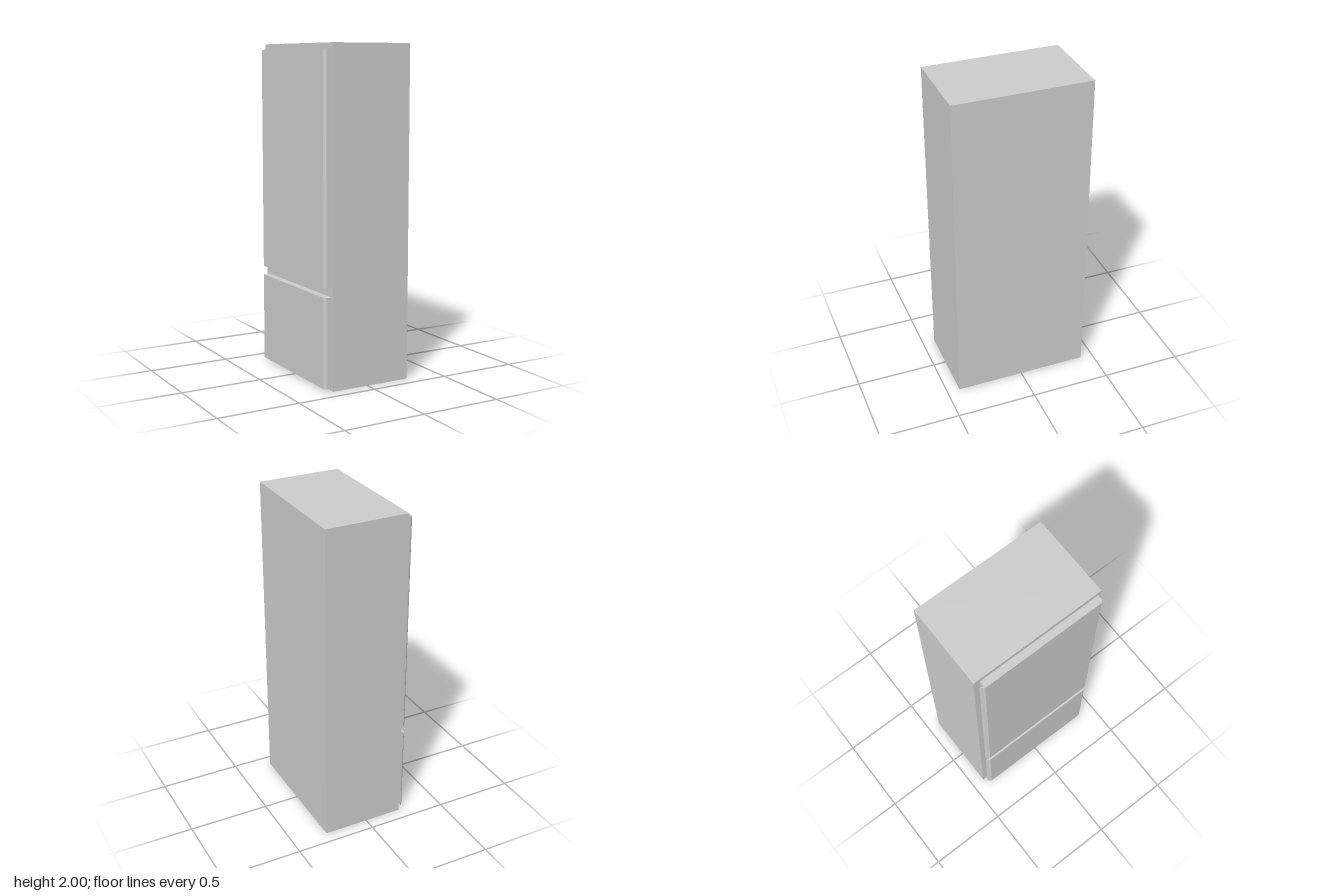
import * as THREE from 'three';

export function createModel() {
  const group = new THREE.Group();
  const material = new THREE.MeshStandardMaterial({ color: 0xcccccc, flatShading: true });

  // Cabinet body
  const cabinet = new THREE.Mesh(new THREE.BoxGeometry(0.513, 2, 0.842), material);
  cabinet.name = 'cabinet';
  cabinet.position.set(0.0225, 1, 0);
  group.add(cabinet);

  // Door plan outline (x, z): chamfered on one edge, hooked grip lip on the other
  const outline = new THREE.Shape([
    [-0.234, 0.402], [-0.267, 0.402], [-0.279, 0.387], [-0.279, -0.38],
    [-0.26, -0.404], [-0.266, -0.38], [-0.234, -0.38],
  ].map(([x, z]) => new THREE.Vector2(x, z)));

  // Doors, extruded upright on the -x side
  const addDoor = (name, bottom, top) => {
    const geometry = new THREE.ExtrudeGeometry(outline, { depth: top - bottom, bevelEnabled: false });
    geometry.rotateX(Math.PI / 2);
    const door = new THREE.Mesh(geometry, material);
    door.name = name;
    door.position.y = top;
    group.add(door);
  };
  addDoor('lowerDoor', 0.013, 0.555);
  addDoor('upperDoor', 0.61, 1.966);

  return group;
}
